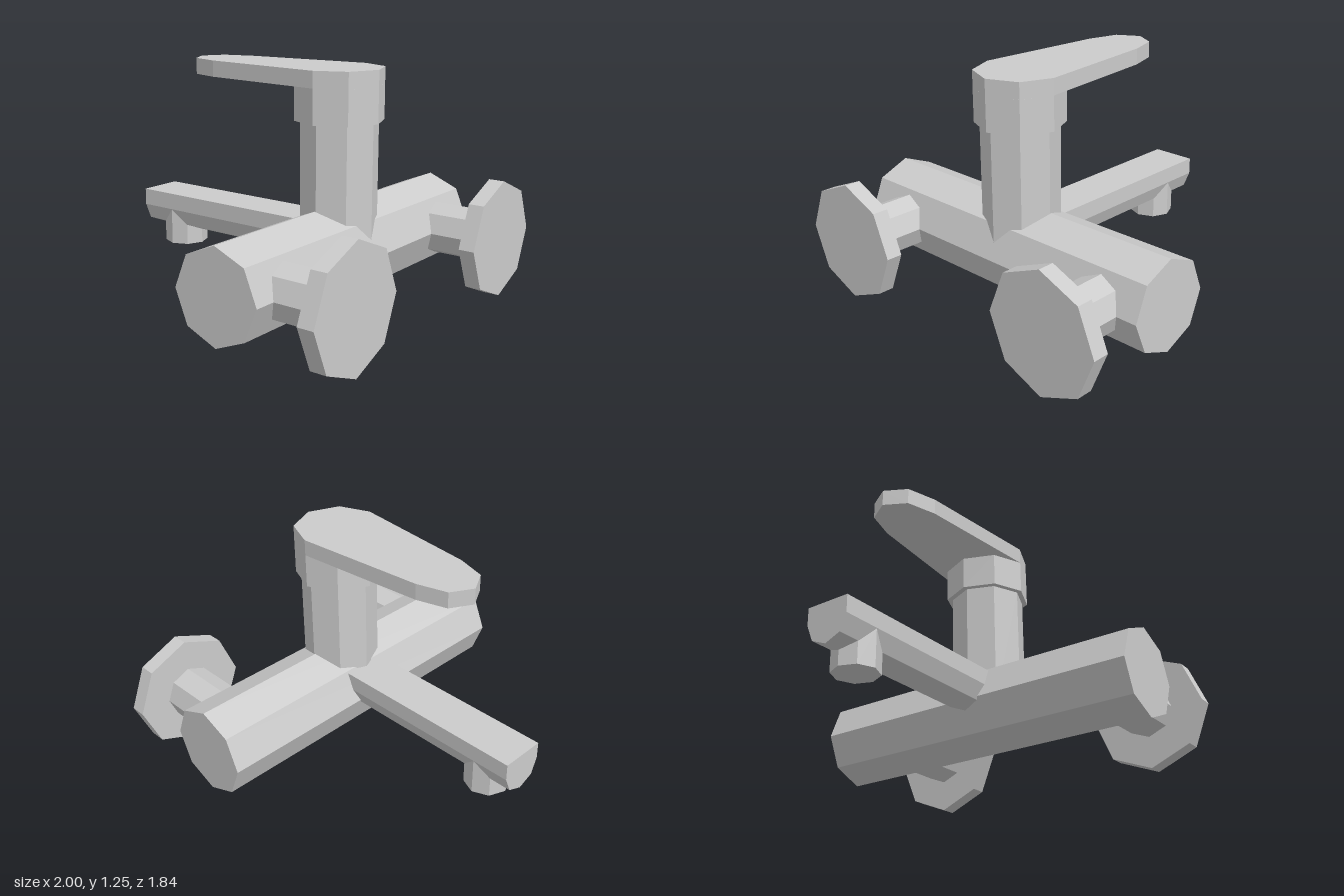
import * as THREE from 'three';

const material = new THREE.MeshStandardMaterial({ color: 0xcccccc, flatShading: true });

export function createModel() {
  const model = new THREE.Group();
  model.name = 'mixerTap';

  const add = (name, geometry, x, y, z) => {
    const mesh = new THREE.Mesh(geometry, material);
    mesh.name = name;
    mesh.position.set(x, y, z);
    model.add(mesh);
    return mesh;
  };
  // Eight-sided bar, upright unless laid along x or z
  const bar = (name, radius, length, x, y, z, axis = 'y') => {
    const geometry = new THREE.CylinderGeometry(radius, radius, length, 8);
    if (axis === 'x') geometry.rotateZ(Math.PI / 2);
    if (axis === 'z') geometry.rotateX(Math.PI / 2);
    return add(name, geometry, x, y, z);
  };
  // Prism from one half of a symmetric outline (x >= 0, ends on the axis)
  const prism = (half, depth) => {
    const mirrored = half.filter(([x]) => x > 0).reverse().map(([x, y]) => [-x, y]);
    const shape = new THREE.Shape([...half, ...mirrored].map(([x, y]) => new THREE.Vector2(x, y)));
    return new THREE.ExtrudeGeometry(shape, { depth, bevelEnabled: false });
  };

  // Horizontal valve body
  bar('body', 0.239, 1.88, 0, 0.317, 0.34, 'x');

  // Wall connections
  for (const [side, s] of [['left', 1], ['right', -1]]) {
    bar(side + 'Connector', 0.142, 0.51, s * 0.685, 0.317, 0.595, 'z');
    bar(side + 'Flange', 0.314, 0.085, s * 0.685, 0.317, 0.878, 'z');
  }

  // Column and lever hub
  bar('column', 0.199, 0.68, 0, 0.655, 0.345);
  bar('leverHub', 0.228, 0.18, 0, 1.077, 0.343);

  // Tapering lever, outline given as [x, -z]
  const lever = prism([
    [0, -0.571], [0.161, -0.504], [0.228, -0.343],
    [0.161, 0.35], [0.114, 0.51], [0, 0.575],
  ], 0.085);
  lever.rotateX(-Math.PI / 2);
  add('lever', lever, 0, 1.166, 0);

  // Flat-topped spout with a rounded underside
  const spout = prism([[0, 0.265], [0.085, 0.3], [0.12, 0.385], [0.12, 0.475]], 1.263);
  add('spout', spout, 0, 0, -0.923);
  bar('outlet', 0.119, 0.2, 0, 0.287, -0.718);

  return model;
}
